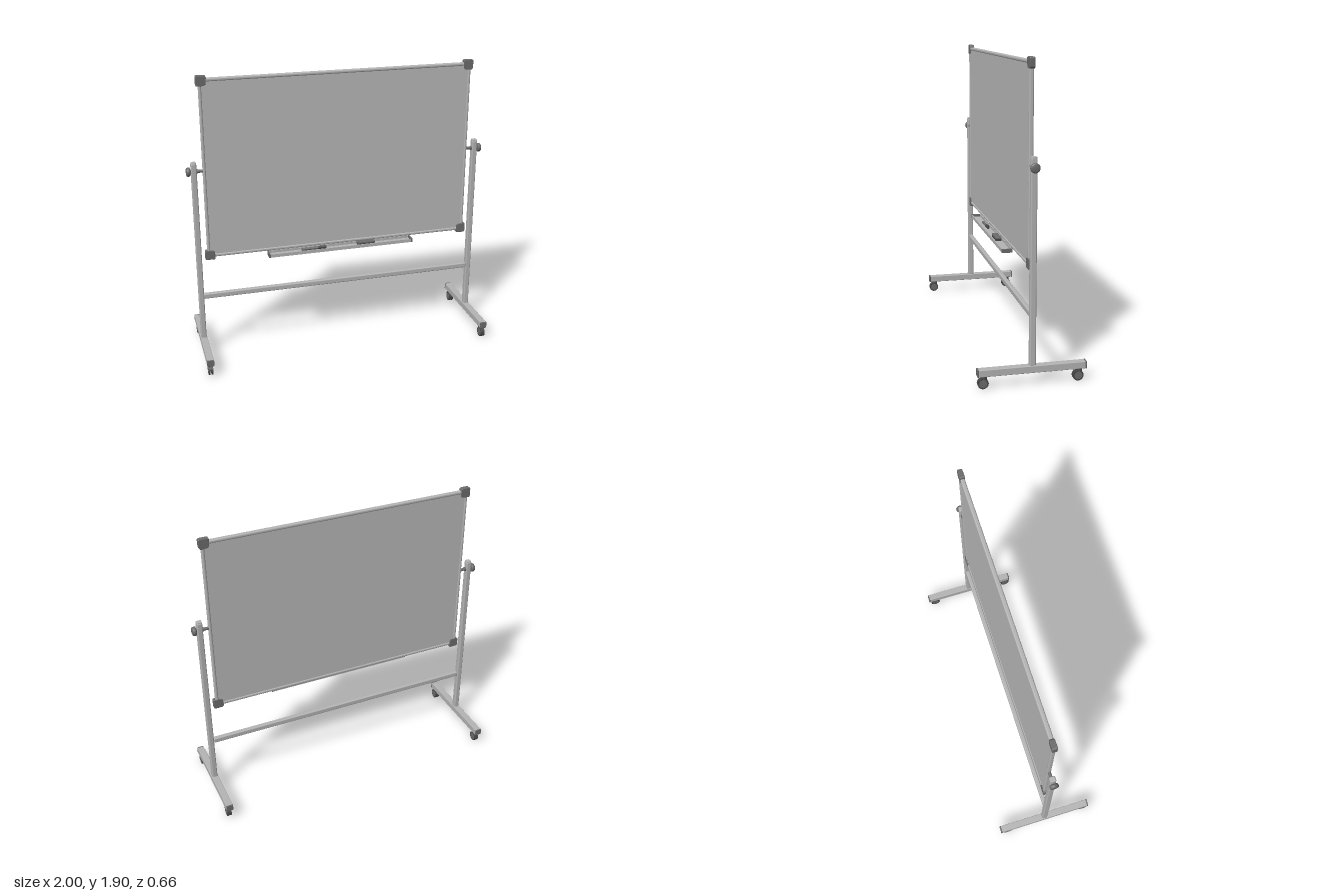
import * as THREE from 'three';
import { RoundedBoxGeometry } from 'three/addons/geometries/RoundedBoxGeometry.js';

const mat = (name, color) => {
  const m = new THREE.MeshStandardMaterial({ color });
  m.name = name;
  return m;
};

export function createModel() {
  const root = new THREE.Group();
  root.name = 'mobileWhiteboard';
  const panel = mat('panel grey', 0xb9b9b9);
  const metal = mat('metal grey', 0xb4b4b4);
  const plastic = mat('plastic grey', 0x6c6c6c);
  const rubber = mat('dark rubber', 0x484848);

  const add = (parent, name, geo, material, x = 0, y = 0, z = 0) => {
    const mesh = new THREE.Mesh(geo, material);
    mesh.name = name;
    mesh.position.set(x, y, z);
    parent.add(mesh);
    return mesh;
  };
  const box = (w, h, d) => new THREE.BoxGeometry(w, h, d);
  const rbox = (w, h, d, r) => new RoundedBoxGeometry(w, h, d, 3, r);
  // Cylinder lying along x
  const rod = (r, len, r2 = r, seg = 24) => new THREE.CylinderGeometry(r, r2, len, seg).rotateZ(Math.PI / 2);

  // Writing panel and its rounded frame
  const board = new THREE.Group();
  board.name = 'board';
  root.add(board);
  const midY = 1.295;
  add(board, 'panel', box(1.77, 1.165, 0.018), panel, 0, midY);
  for (const s of [-1, 1]) {
    add(board, 'frameRail', rbox(1.79, 0.022, 0.028, 0.009), metal, 0, midY + s * 0.582);
    add(board, 'frameStile', rbox(0.02, 1.17, 0.028, 0.009), metal, s * 0.885, midY);
  }

  // Corner protectors: bevelled blocks with a stepped inner corner
  const c = new THREE.Shape();
  c.moveTo(0.008, 0);
  c.lineTo(0.054, 0);
  c.quadraticCurveTo(0.06, 0, 0.06, 0.006);
  c.lineTo(0.06, 0.026);
  c.quadraticCurveTo(0.058, 0.046, 0.052, 0.056);
  c.lineTo(0.012, 0.06);
  c.quadraticCurveTo(0.003, 0.059, 0.001, 0.05);
  c.lineTo(0, 0.008);
  c.quadraticCurveTo(0, 0, 0.008, 0);
  const cornerGeo = new THREE.ExtrudeGeometry(c, {
    depth: 0.026, bevelEnabled: true, bevelSize: 0.003, bevelThickness: 0.003, bevelSegments: 2, curveSegments: 5,
  }).translate(-0.03, -0.03, -0.013);
  for (const sx of [-1, 1]) for (const sy of [-1, 1]) {
    const m = add(board, 'cornerProtector', cornerGeo, plastic, sx * 0.877, midY + sy * 0.577);
    m.rotation.z = sx < 0 ? (sy < 0 ? 0 : -Math.PI / 2) : (sy < 0 ? Math.PI / 2 : Math.PI);
  }

  // Tray with lip, end caps, marker and eraser
  const tray = new THREE.Group();
  tray.name = 'tray';
  root.add(tray);
  add(tray, 'trayBase', box(0.99, 0.008, 0.064), metal, 0, 0.684, 0.043);
  add(tray, 'trayLip', box(0.99, 0.022, 0.006), metal, 0, 0.691, 0.075);
  add(tray, 'trayBack', box(0.99, 0.024, 0.006), metal, 0, 0.692, 0.014);
  for (const s of [-1, 1]) add(tray, 'trayEnd', box(0.01, 0.024, 0.068), plastic, s * 0.495, 0.692, 0.045);
  add(tray, 'markerBody', rod(0.009, 0.115), plastic, -0.213, 0.697, 0.038);
  add(tray, 'markerCap', rod(0.0105, 0.055), rubber, -0.13, 0.698, 0.038);
  add(tray, 'eraserFelt', box(0.116, 0.012, 0.036), rubber, 0.175, 0.694, 0.04);
  add(tray, 'eraserGrip', rbox(0.12, 0.013, 0.04, 0.003), plastic, 0.175, 0.706, 0.04);

  // Crossbar between the posts
  add(root, 'crossbar', rbox(1.87, 0.036, 0.03, 0.008), metal, 0, 0.423);

  // Caster: stem, hood, fork and wheel, trailing slightly forward
  const hood = new THREE.CylinderGeometry(0.029, 0.029, 0.02, 20, 1, false, 0, Math.PI).rotateZ(Math.PI / 2);
  const addCaster = (parent, x, z) => {
    const g = new THREE.Group();
    g.name = 'caster';
    g.position.set(x, 0, z);
    parent.add(g);
    add(g, 'stem', new THREE.CylinderGeometry(0.015, 0.018, 0.022, 16), rubber, 0, 0.071, 0);
    const dz = 0.008;
    add(g, 'hub', rod(0.012, 0.034), plastic, 0, 0.034, dz);
    for (const s of [-1, 1]) {
      add(g, 'wheel', rod(0.033, 0.01), rubber, s * 0.009, 0.034, dz);
      add(g, 'wheelDisc', rod(0.024, 0.003), plastic, s * 0.0145, 0.034, dz);
    }
    add(g, 'fork', hood, rubber, 0, 0.037, dz);
    add(g, 'forkBlock', box(0.02, 0.03, 0.034), rubber, 0, 0.054, 0.002);
  };

  // Side stands
  for (const s of [-1, 1]) {
    const stand = new THREE.Group();
    stand.name = s > 0 ? 'leftStand' : 'rightStand';
    root.add(stand);
    const x = s * 0.951;
    add(stand, 'post', rbox(0.036, 1.235, 0.038, 0.008), metal, x, 0.7325);
    add(stand, 'postCap', rbox(0.032, 0.012, 0.032, 0.004), metal, x, 1.351);
    add(stand, 'foot', rbox(0.045, 0.044, 0.646, 0.004), metal, x, 0.099);
    for (const e of [-1, 1]) {
      add(stand, 'footEndCap', rbox(0.046, 0.045, 0.009, 0.003), plastic, x, 0.099, e * 0.326);
      addCaster(stand, x, e * 0.288);
    }
    // Pivot pin, collar and clamping knob
    add(stand, 'pivotPin', rod(0.01, 0.1), plastic, s * 0.935, midY);
    add(stand, 'pivotCollar', rod(0.014, 0.008), plastic, s * 0.929, midY);
    const profile = [[0, 0], [0.02, 0], [0.027, 0.003], [0.029, 0.008], [0.029, 0.018], [0.026, 0.024], [0.019, 0.027], [0, 0.028]]
      .map(([r, h]) => new THREE.Vector2(r, h));
    const knob = add(stand, 'knob', new THREE.LatheGeometry(profile, 24), plastic, s * 0.972, midY);
    knob.rotation.z = -s * Math.PI / 2;
  }
  return root;
}
